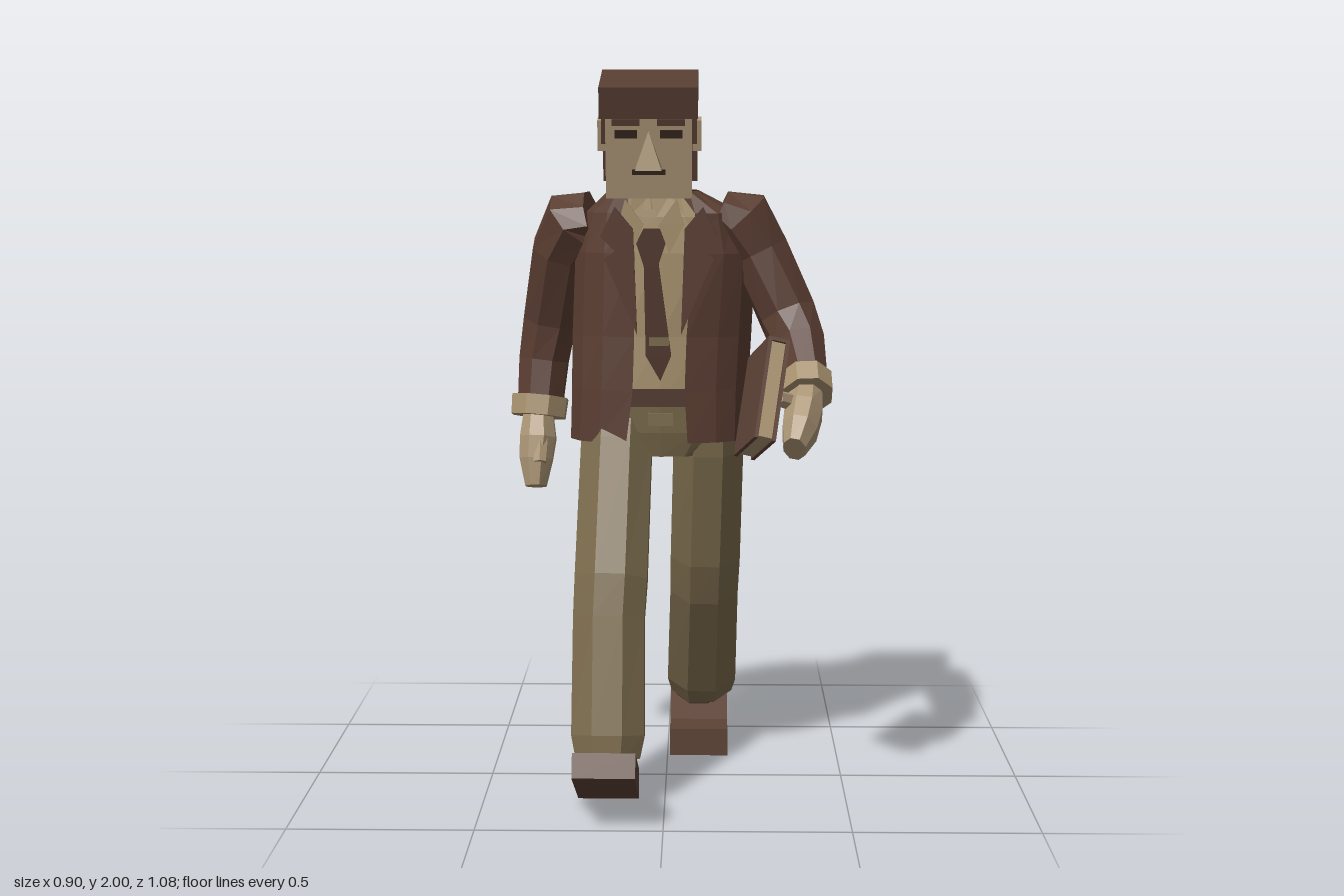
import * as THREE from 'three';

const V = (x, y, z) => new THREE.Vector3(x, y, z);
const mat = (name, color, double) => {
  const m = new THREE.MeshStandardMaterial({ color });
  m.name = name;
  if (double) m.side = THREE.DoubleSide;
  return m;
};

// Faceted skin over a list of rings of points
function loft(rings, closed = true) {
  const pos = [], n = rings[0].length;
  const tri = (...p) => p.forEach(q => pos.push(q.x, q.y, q.z));
  for (let k = 0; k + 1 < rings.length; k++) {
    for (let i = 0; i < (closed ? n : n - 1); i++) {
      const j = (i + 1) % n;
      tri(rings[k][i], rings[k][j], rings[k + 1][j]);
      tri(rings[k][i], rings[k + 1][j], rings[k + 1][i]);
    }
  }
  if (closed) {
    const first = rings[0], last = rings[rings.length - 1];
    for (let i = 1; i + 1 < n; i++) {
      tri(first[0], first[i + 1], first[i]);
      tri(last[0], last[i], last[i + 1]);
    }
  }
  const g = new THREE.BufferGeometry();
  g.setAttribute('position', new THREE.Float32BufferAttribute(pos, 3));
  g.computeVertexNormals();
  return g;
}

// Limb along a path; each entry is [x, y, z, radius across, radius deep]
function limb(path, sides = 8) {
  const pts = path.map(p => V(p[0], p[1], p[2]));
  return loft(path.map((p, k) => {
    const t = pts[Math.min(k + 1, pts.length - 1)].clone().sub(pts[Math.max(k - 1, 0)]).normalize();
    const u = V(1, 0, 0).addScaledVector(t, -t.x).normalize();
    const v = t.clone().cross(u);
    return Array.from({ length: sides }, (_, i) => {
      const a = (i + 0.5) / sides * Math.PI * 2;
      return pts[k].clone().addScaledVector(u, Math.cos(a) * p[3]).addScaledVector(v, Math.sin(a) * (p[4] ?? p[3]));
    });
  }));
}

// Torso shell; each entry is [y, centre x, half width, centre z, half depth, front gap, twist]
function shell(rows, n = 16) {
  const open = rows.some(r => r[5] > 0);
  return loft(rows.map(([y, cx, hx, cz, hz, gap, twist]) => {
    const a0 = Math.asin(Math.pow(gap / hx, 1 / 0.7));
    return Array.from({ length: open ? n + 1 : n }, (_, i) => {
      const a = a0 + (Math.PI * 2 - 2 * a0) * i / n, s = Math.sin(a), c = Math.cos(a);
      const x = Math.sign(s) * Math.abs(s) ** 0.7 * hx;
      return V(cx + x, y, cz + Math.sign(c) * Math.abs(c) ** 0.7 * hz + twist * x);
    });
  }), !open);
}

const plate = (points, depth) =>
  new THREE.ExtrudeGeometry(new THREE.Shape(points.map(p => new THREE.Vector2(...p))), { depth, bevelEnabled: false });

export function createModel() {
  const root = new THREE.Group();
  const jacketM = mat('jacket brown', 0x5a3d31, true), hairM = mat('hair brown', 0x573e32);
  const skinM = mat('skin', 0xad9777), shirtM = mat('shirt tan', 0xa8926f);
  const trouserM = mat('trouser khaki', 0x7c6c4d), shoeM = mat('shoe brown', 0x5e4337);
  const tieM = mat('tie brown', 0x4e362c), eyeM = mat('eye dark', 0x35241d);

  const add = (name, geo, m, parent = root, x = 0, y = 0, z = 0) => {
    const mesh = new THREE.Mesh(geo, m);
    mesh.name = name;
    mesh.position.set(x, y, z);
    parent.add(mesh);
    return mesh;
  };
  const box = (name, w, h, d, m, parent, x, y, z) => add(name, new THREE.BoxGeometry(w, h, d), m, parent, x, y, z);

  // Torso: open jacket over shirt and trouser top
  add('jacket', shell([
    [0.975, -0.025, 0.25, -0.075, 0.165, 0.085, 0],
    [1.12, -0.02, 0.252, -0.08, 0.172, 0.072, 0],
    [1.27, -0.015, 0.255, -0.083, 0.178, 0.072, 0.03],
    [1.5, -0.005, 0.255, -0.058, 0.17, 0.08, 0.1],
    [1.61, -0.01, 0.215, -0.032, 0.143, 0.09, 0.15],
    [1.67, -0.035, 0.125, -0.005, 0.1, 0.07, 0.1]]), jacketM);
  add('shirt', shell([
    [1.08, -0.015, 0.2, -0.07, 0.145, 0, 0],
    [1.27, -0.015, 0.22, -0.075, 0.157, 0, 0.03],
    [1.5, -0.01, 0.21, -0.052, 0.15, 0, 0.1],
    [1.6, -0.025, 0.15, -0.025, 0.12, 0, 0.1],
    [1.66, -0.04, 0.1, 0.005, 0.085, 0, 0]]), shirtM);
  add('trouserTop', shell([
    [0.93, -0.015, 0.13, -0.06, 0.1, 0, 0],
    [1.0, -0.015, 0.2, -0.065, 0.125, 0, 0],
    [1.09, -0.015, 0.21, -0.07, 0.142, 0, 0]]), trouserM);
  box('belt', 0.17, 0.05, 0.02, tieM, root, -0.015, 1.1, 0.07);
  box('buckle', 0.07, 0.035, 0.03, trouserM, root, -0.015, 1.04, 0.065);

  // Tie, shirt collar and lapels
  const front = new THREE.Group();
  front.name = 'shirtFront';
  front.position.set(-0.03, 1.1, 0.085);
  front.rotation.x = 0.05;
  root.add(front);
  add('tieKnot', plate([[-0.03, 0.47], [-0.05, 0.43], [-0.03, 0.37], [0.01, 0.37], [0.03, 0.43], [0.015, 0.47]], 0.02), tieM, front);
  add('tieBlade', plate([[-0.03, 0.38], [0.01, 0.38], [0.045, 0.12], [0.015, 0.05], [-0.025, 0.12]], 0.009), tieM, front);
  box('tieClip', 0.055, 0.022, 0.008, trouserM, front, 0.012, 0.16, 0.013);
  for (const s of [-1, 1]) {
    const flip = pts => (s > 0 ? pts : pts.map(([x, y]) => [-x, y]).reverse());
    add('lapel', plate(flip([[0.06, 0.18], [0.15, 0.39], [0.12, 0.41], [0.16, 0.45], [0.12, 0.53], [0.07, 0.47]]), 0.012), jacketM, front, 0.012, 0, 0.013);
    add('collarPoint', plate(flip([[0.02, 0.48], [0.05, 0.4], [0.09, 0.48], [0.07, 0.55]]), 0.012), shirtM, front, -0.01, 0, 0.004);
  }
  add('collar', limb([[-0.04, 1.63, 0, 0.1, 0.095], [-0.045, 1.68, 0.005, 0.09, 0.085]], 10), shirtM);
  add('neck', limb([[-0.04, 1.58, 0, 0.075], [-0.045, 1.74, 0.03, 0.07]]), skinM);

  // Head, tipped forward; local origin is the middle of the crown
  const head = new THREE.Group();
  head.name = 'head';
  head.position.set(-0.045, 1.973, 0.085);
  head.rotation.x = 0.23;
  root.add(head);
  box('face', 0.232, 0.245, 0.21, skinM, head, 0, -0.182, 0.01);
  box('hairTop', 0.265, 0.085, 0.236, hairM, head, 0, -0.0425, 0);
  box('hairBack', 0.262, 0.22, 0.06, hairM, head, 0, -0.19, -0.088);
  box('mouth', 0.09, 0.014, 0.008, eyeM, head, 0, -0.23, 0.116);
  const nose = add('nose', new THREE.ConeGeometry(0.05, 0.1, 4, 1).rotateY(Math.PI / 4).toNonIndexed(), skinM, head, 0, -0.168, 0.116);
  nose.geometry.computeVertexNormals();
  for (const s of [-1, 1]) {
    box('hairSide', 0.016, 0.15, 0.04, hairM, head, s * 0.122, -0.145, -0.045);
    box('sideburn', 0.016, 0.085, 0.045, hairM, head, s * 0.122, -0.125, 0.032);
    box('ear', 0.024, 0.085, 0.05, skinM, head, s * 0.13, -0.155, -0.01);
    box('brow', 0.075, 0.018, 0.014, hairM, head, s * 0.061, -0.094, 0.117);
    box('eye', 0.06, 0.022, 0.008, eyeM, head, s * 0.061, -0.127, 0.115);
  }

  // Right arm hangs back, left arm bends forward
  add('rightSleeve', limb([
    [-0.21, 1.6, -0.05, 0.06, 0.09], [-0.255, 1.585, -0.06, 0.095, 0.105], [-0.3, 1.5, -0.1, 0.085, 0.1],
    [-0.335, 1.3, -0.17, 0.082, 0.09], [-0.355, 1.18, -0.17, 0.075, 0.08], [-0.365, 1.05, -0.145, 0.068, 0.075]]), jacketM);
  add('rightCuff', limb([[-0.365, 1.075, -0.15, 0.085, 0.09], [-0.37, 1.02, -0.138, 0.082, 0.088]]), shirtM);
  add('rightHand', limb([
    [-0.37, 1.03, -0.14, 0.045, 0.055], [-0.37, 0.96, -0.12, 0.055, 0.07],
    [-0.375, 0.9, -0.105, 0.05, 0.065], [-0.375, 0.825, -0.085, 0.032, 0.045]], 8), skinM);
  add('rightThumb', limb([[-0.36, 0.98, -0.09, 0.026], [-0.36, 0.9, -0.05, 0.02]], 6), skinM);

  add('leftSleeve', limb([
    [0.15, 1.62, 0.02, 0.055, 0.09], [0.205, 1.595, 0.02, 0.095, 0.105], [0.26, 1.5, 0.015, 0.085, 0.098],
    [0.335, 1.33, 0.04, 0.083, 0.09], [0.365, 1.25, 0.1, 0.075, 0.082], [0.385, 1.155, 0.195, 0.058, 0.065]]), jacketM);
  add('leftCuff', limb([[0.38, 1.165, 0.18, 0.075, 0.08], [0.383, 1.125, 0.225, 0.073, 0.077]]), shirtM);
  add('leftHand', limb([
    [0.382, 1.135, 0.21, 0.045, 0.05], [0.372, 1.085, 0.26, 0.055, 0.075],
    [0.36, 1.04, 0.31, 0.05, 0.072], [0.345, 1.0, 0.355, 0.032, 0.045]], 8), skinM);
  add('leftThumb', limb([[0.35, 1.11, 0.26, 0.025], [0.3, 1.13, 0.31, 0.022]], 6), skinM);

  // Book carried in the left hand
  const a = V(-0.04, -0.25, 0.12).normalize();
  const n = a.clone().cross(V(-0.05, -0.07, -0.18)).normalize();
  const b = n.clone().cross(a);
  const book = new THREE.Group();
  book.name = 'book';
  book.quaternion.setFromRotationMatrix(new THREE.Matrix4().makeBasis(a, b, n));
  book.position.copy(V(0.33, 1.29, 0.37)).addScaledVector(a, 0.14).addScaledVector(b, 0.1).addScaledVector(n, -0.028);
  root.add(book);
  for (const s of [-1, 1]) box('bookCover', 0.28, 0.2, 0.01, shoeM, book, 0, 0, s * 0.024);
  box('bookSpine', 0.01, 0.2, 0.05, shoeM, book, -0.135, 0, 0);
  box('bookPages', 0.262, 0.188, 0.04, shirtM, book, 0.002, 0, 0);

  // Legs in mid stride
  add('rightLeg', limb([
    [-0.135, 1.06, -0.06, 0.105, 0.11], [-0.14, 0.95, -0.015, 0.107, 0.115], [-0.15, 0.6, 0.14, 0.108, 0.108],
    [-0.155, 0.5, 0.17, 0.106, 0.104], [-0.155, 0.19, 0.255, 0.108, 0.1], [-0.155, 0.13, 0.268, 0.095, 0.09]]), trouserM);
  add('leftLeg', limb([
    [0.12, 1.06, -0.06, 0.105, 0.115], [0.118, 0.95, -0.08, 0.107, 0.12], [0.11, 0.62, -0.155, 0.108, 0.105],
    [0.107, 0.52, -0.195, 0.106, 0.1], [0.1, 0.21, -0.385, 0.11, 0.097], [0.1, 0.165, -0.415, 0.098, 0.088]]), trouserM);

  // Shoes: side profiles as [z, y], extruded across
  const shoe = (name, profile, xRight, width) =>
    add(name, plate(profile, width).rotateY(-Math.PI / 2), shoeM, root, xRight, 0, 0);
  shoe('rightShoe', [[0.24, 0.005], [0.54, 0.155], [0.51, 0.215], [0.21, 0.08]], -0.072, 0.167);
  shoe('leftShoe', [[-0.33, 0.005], [-0.19, 0], [-0.19, 0.08], [-0.3, 0.08], [-0.5, 0.185], [-0.54, 0.105]], 0.177, 0.17);
  add('rightShoeTop', limb([[-0.155, 0.18, 0.255, 0.07], [-0.155, 0.08, 0.28, 0.08]]), shoeM);
  add('leftShoeTop', limb([[0.095, 0.21, -0.39, 0.07], [0.09, 0.11, -0.435, 0.075]]), shoeM);

  return root;
}
